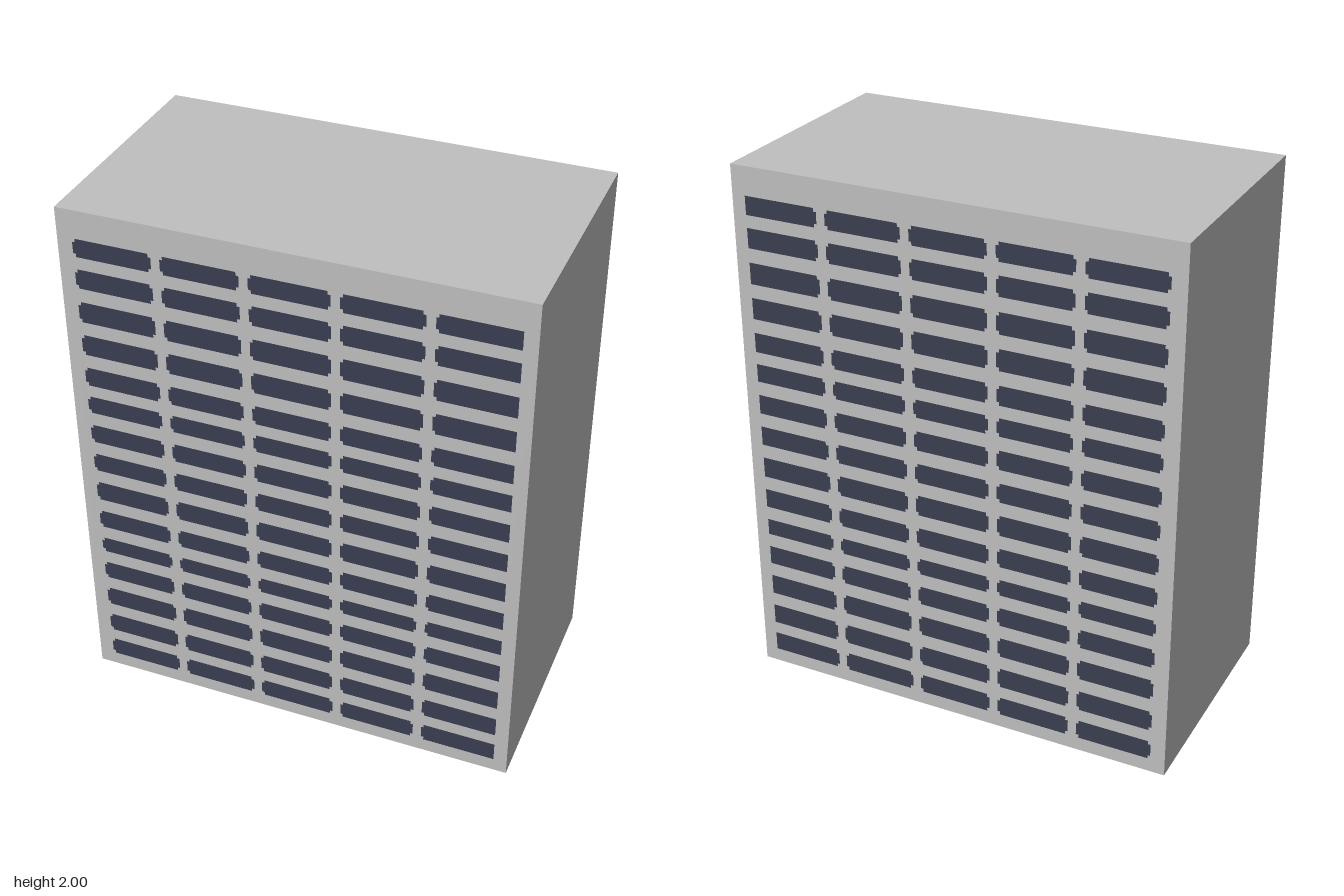
import * as THREE from 'three';

const W = 1.65, H = 2, D = 0.905;

// window columns [left, right] and rows [bottom, top]
const COLS = [[-0.77, -0.484], [-0.452, -0.172], [-0.14, 0.145], [0.177, 0.463], [0.495, 0.775]];
const ROWS = [
  [0.053, 0.127], [0.175, 0.254], [0.307, 0.386], [0.439, 0.513], [0.566, 0.63],
  [0.683, 0.757], [0.81, 0.889], [0.942, 1.016], [1.069, 1.143], [1.196, 1.265],
  [1.312, 1.386], [1.439, 1.519], [1.571, 1.651], [1.704, 1.778], [1.825, 1.894],
];

// outline of one window with small stepped corners (last column is square on its right)
function windowPoints([x0, x1], [y0, y1], squareRight) {
  const nx = 0.01, ny = 0.013;
  const p = [[x0 + nx, y1], [x0 + nx, y1 - ny], [x0, y1 - ny], [x0, y0 + ny], [x0 + nx, y0 + ny], [x0 + nx, y0]];
  if (squareRight) p.push([x1, y0], [x1, y1]);
  else p.push([x1 - nx, y0], [x1 - nx, y0 + ny], [x1, y0 + ny], [x1, y1 - ny], [x1 - nx, y1 - ny], [x1 - nx, y1]);
  return p.map(([x, y]) => new THREE.Vector2(x, y));
}

export function createModel() {
  const wallMat = new THREE.MeshStandardMaterial({ color: 0xc0c0c0, side: THREE.DoubleSide });
  wallMat.name = 'concrete grey';
  const glassMat = new THREE.MeshStandardMaterial({ color: 0x3a3e51, side: THREE.DoubleSide });
  glassMat.name = 'dark window blue';

  const group = new THREE.Group();
  group.name = 'officeBlock';
  const add = (name, geometry, material) => {
    const mesh = new THREE.Mesh(geometry, material);
    mesh.name = name;
    group.add(mesh);
    return mesh;
  };

  // facade with window openings, and panes that fill them
  const outlines = ROWS.flatMap(row => COLS.map((col, i) => windowPoints(col, row, i === COLS.length - 1)));
  const facade = new THREE.Shape([[-W / 2, 0], [W / 2, 0], [W / 2, H], [-W / 2, H]].map(([x, y]) => new THREE.Vector2(x, y)));
  facade.holes = outlines.map(points => new THREE.Path(points));
  const panes = outlines.map(points => new THREE.Shape(points));

  // the back keeps the same x layout; its winding is flipped to face -z
  for (const [side, s] of [['front', 1], ['back', -1]]) {
    for (const [part, shape, mat] of [['Facade', facade, wallMat], ['Windows', panes, glassMat]]) {
      const geometry = new THREE.ShapeGeometry(shape);
      if (s < 0) {
        geometry.index.array.reverse();
        geometry.scale(1, 1, -1);
      }
      add(side + part, geometry, mat).position.z = s * D / 2;
    }
  }

  // plain side walls
  for (const [name, s] of [['leftWall', 1], ['rightWall', -1]]) {
    const wall = add(name, new THREE.PlaneGeometry(D, H), wallMat);
    wall.rotation.y = s * Math.PI / 2;
    wall.position.set(s * W / 2, H / 2, 0);
  }

  // flat roof; the underside of the block is open
  const roof = add('roof', new THREE.PlaneGeometry(W, D), wallMat);
  roof.rotation.x = -Math.PI / 2;
  roof.position.y = H;

  return group;
}
